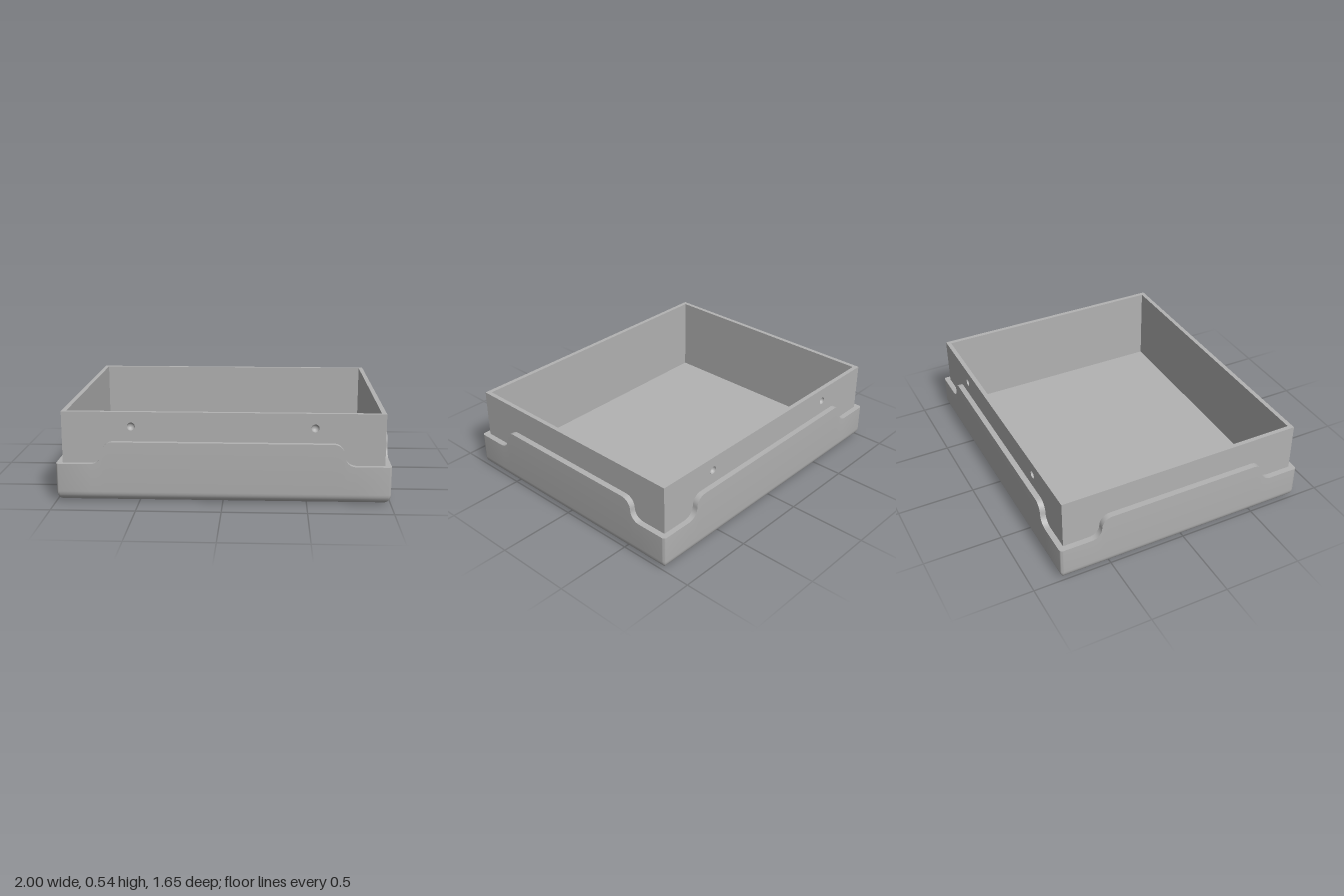
import * as THREE from 'three';
import { toCreasedNormals } from 'three/addons/utils/BufferGeometryUtils.js';

const W = 1, D = 0.825, CORNER = 0.02, FILLET = 0.06;  // outer shell
const LOW = 0.23, HIGH = 0.365;                        // rim height at corners and along sides
const IW = 0.962, ID = 0.79, WALL = 0.028;             // inner tray
const FLOOR = 0.035, TOP = 0.543;
const HALF_PI = Math.PI / 2;
const clamp = THREE.MathUtils.clamp;

// S-curved rim along one side: [position, height] from + to -
function rimProfile(middle) {
  const R = (HIGH - LOW) / 2, half = [], n = 8;
  for (let i = 0; i <= n; i++) {
    const a = (i / n) * HALF_PI;
    half.push([middle + R - R * Math.sin(a), LOW + R - R * Math.cos(a)]);
  }
  for (let i = 1; i <= n; i++) {
    const a = (i / n) * HALF_PI;
    half.push([middle - R + R * Math.cos(a), LOW + R + R * Math.sin(a)]);
  }
  return [...half, ...half.map(([t, y]) => [-t, y]).reverse()];
}

// Walk round the shell: position, outward normal and rim height
function perimeter() {
  const points = [];
  const corners = [[1, 1], [-1, 1], [-1, -1], [1, -1]];
  corners.forEach(([sx, sz], k) => {
    for (let i = 0; i <= 6; i++) {
      const a = (k + i / 6) * HALF_PI, nx = Math.cos(a), nz = Math.sin(a);
      points.push({ x: sx * (W - CORNER) + nx * CORNER, z: sz * (D - CORNER) + nz * CORNER, nx, nz, y: LOW });
    }
    const onZ = k % 2 === 0, dir = k < 2 ? 1 : -1;
    for (const [t, y] of rimProfile(onZ ? 0.722 : 0.556)) {
      points.push(onZ
        ? { x: t * dir, z: D * dir, nx: 0, nz: dir, y }
        : { x: -W * dir, z: t * dir, nx: -dir, nz: 0, y });
    }
  });
  return points;
}

// Shell: each column runs from the bottom centre, round the fillet, up and over the rim
function shellGeometry() {
  const columns = perimeter().map((p) => {
    const column = [[0, 0, 0]];
    for (let i = 0; i <= 8; i++) {
      const a = (i / 8) * HALF_PI, d = FILLET * (1 - Math.sin(a));
      const core = Math.max(CORNER, d), r = Math.max(CORNER - d, 0);
      column.push([
        clamp(p.x, -(W - core), W - core) + p.nx * r,
        FILLET * (1 - Math.cos(a)),
        clamp(p.z, -(D - core), D - core) + p.nz * r,
      ]);
    }
    column.push([p.x, p.y, p.z]);
    column.push([clamp(p.x, -IW, IW), p.y, clamp(p.z, -ID, ID)]);
    return column;
  });
  const n = columns.length, m = columns[0].length, index = [];
  for (let i = 0; i < n; i++) {
    for (let j = 0; j < m - 1; j++) {
      const a = i * m + j, b = a + 1, c = ((i + 1) % n) * m + j, d = c + 1;
      if (j > 0) index.push(a, b, c);
      index.push(b, d, c);
    }
  }
  const geometry = new THREE.BufferGeometry();
  geometry.setAttribute('position', new THREE.Float32BufferAttribute(columns.flat(2), 3));
  geometry.setIndex(index);
  return toCreasedNormals(geometry, 0.6);
}

// Front wall panel with two round openings
function panelGeometry(holes, depth) {
  const shape = new THREE.Shape();
  shape.moveTo(-IW, FLOOR).lineTo(IW, FLOOR).lineTo(IW, TOP).lineTo(-IW, TOP).closePath();
  for (const [x, y, r] of holes) shape.holes.push(new THREE.Path().absarc(x, y, r, 0, Math.PI * 2, true));
  return new THREE.ExtrudeGeometry(shape, { depth, bevelEnabled: false, curveSegments: 24 });
}

export function createModel() {
  const group = new THREE.Group();
  const grey = new THREE.MeshStandardMaterial({ color: 0xb2b2b2, side: THREE.DoubleSide });
  grey.name = 'grey';
  const add = (name, geometry, parent = group) => {
    const mesh = new THREE.Mesh(geometry, grey);
    mesh.name = name;
    parent.add(mesh);
    return mesh;
  };

  add('outerShell', shellGeometry());
  add('trayFloor', new THREE.BoxGeometry(IW * 2, 0.02, ID * 2)).position.y = FLOOR - 0.01;

  // Long walls with a shallow round dimple at each end
  const lining = 0.003, r = 0.024;
  const holes = [[-0.546, 0.455, r], [0.546, 0.455, r]];
  const panel = panelGeometry(holes, WALL - lining);
  const dimple = new THREE.SphereGeometry(r, 24, 10, 0, Math.PI * 2, 0, HALF_PI).rotateX(-HALF_PI);
  for (const [name, angle] of [['frontWall', 0], ['backWall', Math.PI]]) {
    const wall = new THREE.Group();
    wall.name = name;
    wall.rotation.y = angle;
    add('wallPanel', panel, wall).position.z = ID - WALL + lining;
    add('wallLining', new THREE.BoxGeometry(IW * 2, TOP - FLOOR, lining), wall)
      .position.set(0, (TOP + FLOOR) / 2, ID - WALL + lining / 2);
    for (const [x, y] of holes) add('dimple', dimple, wall).position.set(x, y, ID);
    group.add(wall);
  }

  // Short walls
  for (const side of [1, -1]) {
    add(side > 0 ? 'leftWall' : 'rightWall', new THREE.BoxGeometry(WALL, TOP - FLOOR, (ID - WALL) * 2))
      .position.set(side * (IW - WALL / 2), (TOP + FLOOR) / 2, 0);
  }
  return group;
}
